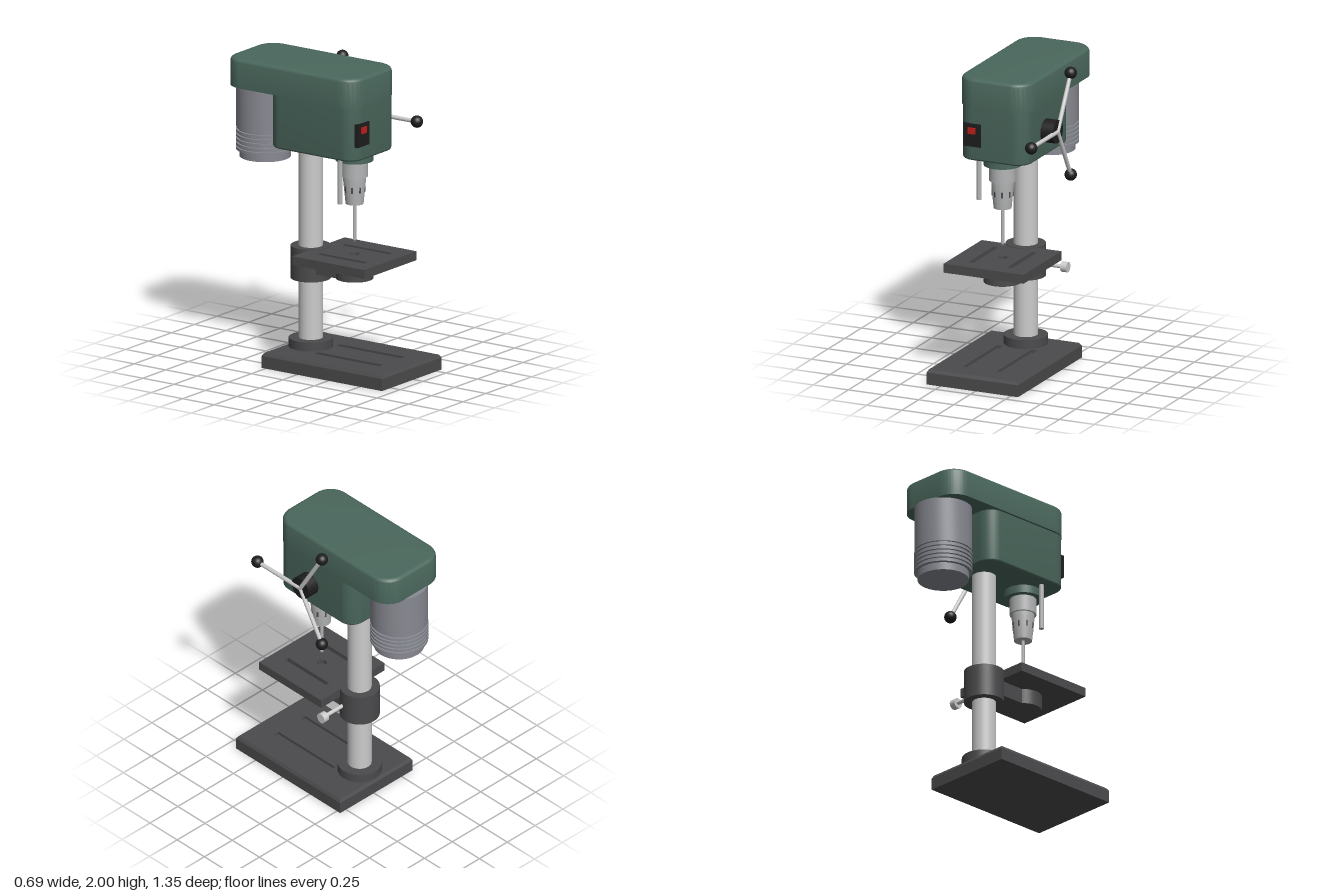
import * as THREE from 'three';
import { toCreasedNormals } from 'three/addons/utils/BufferGeometryUtils.js';

const material = (color) => new THREE.MeshStandardMaterial({ color });
const steel = material(0xcccccc);
const chuckSteel = material(0xb4b5b6);
const iron = material(0x4b4b4d);
const green = material(0x4a675c);
const motorGrey = material(0x888a92);
const black = material(0x1e1e1e);
const red = material(0xc41e1a);

const CHUCK_Z = 0.222;
const COLUMN_Z = -0.126;

export function createModel() {
  const model = new THREE.Group();
  const machine = new THREE.Group();
  machine.name = 'drillPress';
  machine.position.x = -0.022; // the crank side reaches no further than the base
  model.add(machine);

  function add(name, geometry, mat, x = 0, y = 0, z = 0, parent = machine) {
    const mesh = new THREE.Mesh(geometry, mat);
    mesh.name = name;
    mesh.position.set(x, y, z);
    parent.add(mesh);
    return mesh;
  }
  const box = (name, mat, w, h, d, x, y, z) => add(name, new THREE.BoxGeometry(w, h, d), mat, x, y, z);
  // Upright cylinder from y0 to y1
  const post = (name, mat, r, y0, y1, x, z, rTop = r) =>
    add(name, new THREE.CylinderGeometry(rTop, r, y1 - y0, 48), mat, x, (y0 + y1) / 2, z);
  // Cylinder along x from x0 to x1
  const crossPin = (name, mat, r, x0, x1, y, z) => {
    const pin = add(name, new THREE.CylinderGeometry(r, r, x1 - x0, 32), mat, (x0 + x1) / 2, y, z);
    pin.rotation.z = Math.PI / 2;
  };
  const lathe = (name, mat, profile, z) => {
    const geometry = new THREE.LatheGeometry(profile.map((p) => new THREE.Vector2(...p)), 64);
    add(name, toCreasedNormals(geometry, 0.5), mat, 0, 0, z);
  };

  // Rectangle outline in plan (shape y is -z)
  function rectangle(x0, x1, z0, z1, Type = THREE.Shape) {
    return new Type([
      new THREE.Vector2(x0, -z1), new THREE.Vector2(x1, -z1),
      new THREE.Vector2(x1, -z0), new THREE.Vector2(x0, -z0),
    ]);
  }

  // Plate whose upper layer holds blind slots; its top rim is chamfered inward
  function slottedPlate(name, half, z0, z1, y0, ySlot, y1, slot, chamfer, hole) {
    box(name + 'Lower', iron, half * 2, ySlot - y0, z1 - z0, 0, (y0 + ySlot) / 2, (z0 + z1) / 2);
    const shape = rectangle(-half, half, z0, z1);
    for (const side of [-1, 1]) {
      const c = side * slot.x;
      shape.holes.push(rectangle(c - slot.w / 2, c + slot.w / 2, slot.z0, slot.z1, THREE.Path));
    }
    if (hole) shape.holes.push(new THREE.Path().absarc(0, -CHUCK_Z, hole, 0, Math.PI * 2));
    const depth = y1 - ySlot;
    const geometry = new THREE.ExtrudeGeometry(shape, { depth, bevelEnabled: false, curveSegments: 24 });
    geometry.rotateX(-Math.PI / 2);
    const p = geometry.attributes.position;
    for (let i = 0; i < p.count; i++) {
      if (p.getY(i) < depth / 2) continue;
      p.setX(i, THREE.MathUtils.clamp(p.getX(i), chamfer - half, half - chamfer));
      p.setZ(i, THREE.MathUtils.clamp(p.getZ(i), z0 + chamfer, z1 - chamfer));
    }
    geometry.computeVertexNormals();
    add(name + 'Top', geometry, iron, 0, ySlot, 0);
  }

  // Housing with rounded plan corners; bevels beyond yMin..yMax are flattened
  function housing(name, half, z0, z1, r, y0, y1, bevel, yMin, yMax) {
    const shape = new THREE.Shape();
    shape.absarc(half - r, -z0 - r, r, 0, Math.PI / 2);
    shape.absarc(r - half, -z0 - r, r, Math.PI / 2, Math.PI);
    shape.absarc(r - half, -z1 + r, r, Math.PI, Math.PI * 1.5);
    shape.absarc(half - r, -z1 + r, r, Math.PI * 1.5, Math.PI * 2);
    shape.closePath();
    const geometry = new THREE.ExtrudeGeometry(shape, {
      depth: y1 - y0 - bevel * 2, bevelThickness: bevel, bevelSize: bevel,
      bevelOffset: -bevel, bevelSegments: 5, curveSegments: 14,
    });
    geometry.rotateX(-Math.PI / 2).translate(0, y0 + bevel, 0);
    const p = geometry.attributes.position;
    for (let i = 0; i < p.count; i++) p.setY(i, THREE.MathUtils.clamp(p.getY(i), yMin, yMax));
    add(name, toCreasedNormals(geometry, 0.6), green);
  }

  // Base and column
  slottedPlate('base', 0.325, -0.28, 0.677, 0, 0.08, 0.1, { x: 0.12, w: 0.043, z0: 0, z1: 0.52 }, 0.012);
  post('columnFlange', iron, 0.143, 0.1, 0.16, 0, COLUMN_Z);
  post('column', steel, 0.078, 0.1, 1.5, 0, COLUMN_Z);

  // Work table, its arm and clamp
  slottedPlate('table', 0.284, -0.063, 0.507, 0.71, 0.74, 0.77, { x: 0.137, w: 0.036, z0: 0.034, z1: 0.41 }, 0, 0.032);
  post('tableBoss', iron, 0.122, 0.61, 0.71, 0, CHUCK_Z);
  box('tableArm', iron, 0.166, 0.1, 0.24, 0, 0.66, 0.07);
  post('tableCollar', iron, 0.13, 0.557, 0.774, 0, COLUMN_Z);
  crossPin('clampScrew', steel, 0.013, 0.1, 0.28, 0.658, -0.093);
  crossPin('clampKnob', steel, 0.034, 0.275, 0.317, 0.658, -0.093);

  // Head and belt cover
  housing('headBody', 0.24, -0.3, 0.388, 0.1, 1.45, 1.86, 0.014, 1.45, 1.83);
  housing('beltCover', 0.256, -0.645, 0.398, 0.135, 1.78, 2, 0.03, 1.81, 2);

  // Switch
  box('switchPlate', black, 0.126, 0.155, 0.06, -0.137, 1.622, 0.363);
  box('switchButton', red, 0.052, 0.042, 0.02, -0.137, 1.652, 0.392);

  // Motor with cooling ribs
  const motorProfile = [[0, 1.31], [0.165, 1.31], [0.165, 1.36]];
  for (let i = 0; i < 5; i++) {
    const y = 1.36 + i * 0.029;
    motorProfile.push([0.188, y], [0.188, y + 0.017], [0.174, y + 0.017], [0.174, y + 0.029]);
  }
  motorProfile.push([0.186, 1.505], [0.186, 1.812], [0, 1.812]);
  lathe('motor', motorGrey, motorProfile, -0.489);

  // Spindle, chuck and drill bit
  post('spindleCollar', green, 0.123, 1.397, 1.46, 0, CHUCK_Z);
  post('quill', chuckSteel, 0.086, 1.29, 1.4, 0, CHUCK_Z);
  lathe('chuck', chuckSteel, [[0, 1.106], [0.058, 1.106], [0.073, 1.255], [0.073, 1.295]], CHUCK_Z);
  for (let i = 0; i < 8; i++) {
    const a = ((i + 0.5) / 8) * Math.PI * 2;
    const key = box('chuckKeyway', iron, 0.012, 0.055, 0.012,
      Math.sin(a) * 0.064, 1.215, CHUCK_Z + Math.cos(a) * 0.064);
    key.rotation.y = a;
  }
  lathe('drillBit', chuckSteel, [[0, 0.845], [0.011, 0.865], [0.011, 1.11]], CHUCK_Z);
  post('depthRod', chuckSteel, 0.016, 1.14, 1.46, -0.165, CHUCK_Z + 0.005);

  // Feed crank: hub and three spokes with ball grips
  crossPin('crankHub', black, 0.077, 0.22, 0.328, 1.62, 0.085);
  const crank = new THREE.Group();
  crank.name = 'feedCrank';
  crank.position.set(0.326, 1.62, 0.085);
  machine.add(crank);
  for (let i = 0; i < 3; i++) {
    const arm = new THREE.Group();
    arm.name = 'crankArm';
    arm.rotation.x = Math.PI / 2 + (i * Math.PI * 2) / 3;
    crank.add(arm);
    add('spoke', new THREE.CylinderGeometry(0.013, 0.015, 0.395, 20), steel, 0, 0.1975, 0, arm);
    add('ballGrip', new THREE.SphereGeometry(0.04, 32, 20), black, 0, 0.395, 0, arm);
  }
  return model;
}
